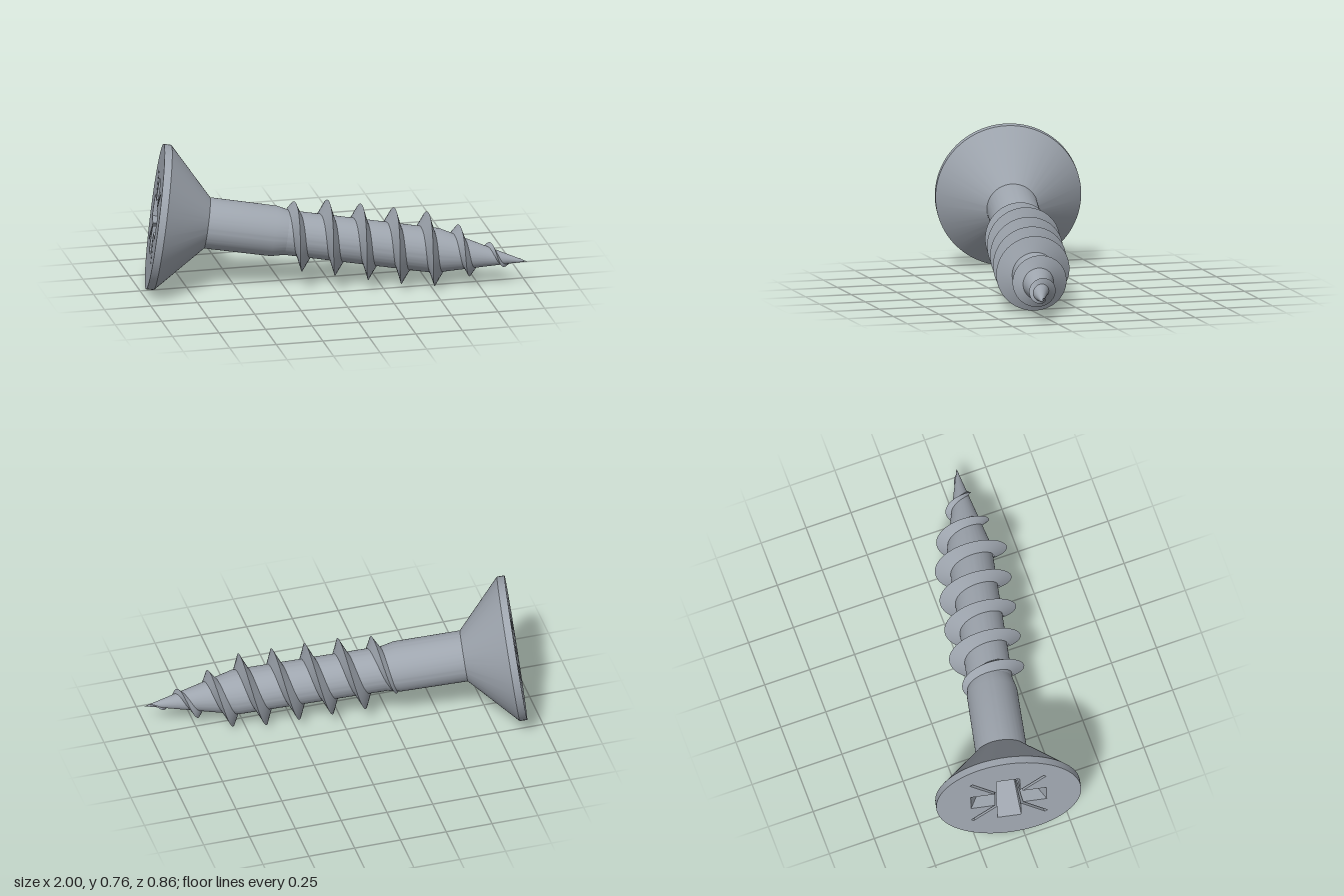
import * as THREE from 'three';
import { toCreasedNormals } from 'three/addons/utils/BufferGeometryUtils.js';

const { lerp, smoothstep } = THREE.MathUtils;
const V = (x, y, z) => new THREE.Vector3(x, y, z);

// Surface through rows of points; it faces (along a row) x (from row to row).
function loft(rows) {
  const n = rows[0].length, index = [];
  for (let i = 0; i < rows.length - 1; i++) {
    for (let j = 0; j < n - 1; j++) {
      const a = i * n + j, b = a + 1, c = b + n, d = a + n;
      index.push(a, b, c, a, c, d);
    }
  }
  const g = new THREE.BufferGeometry().setFromPoints(rows.flat());
  g.setIndex(index);
  g.computeVertexNormals();
  return g;
}

// Turned profile from [radius, height] pairs, with sharp edges kept.
function turned(points) {
  const g = new THREE.LatheGeometry(points.map(p => new THREE.Vector2(...p)), 96);
  return toCreasedNormals(g, 0.3);
}

// Eight-armed driver outline: four broad arms, four thin diagonal slots.
function driverOutline(reach, w, slotReach, h) {
  const k = h * Math.SQRT2, s = h / Math.SQRT2, m = slotReach;
  const quarter = [[reach, -w], [reach, w], [w + k, w], [m + s, m - s], [m - s, m + s], [w, w + k]];
  const out = [];
  for (let q = 0; q < 4; q++) {
    for (const p of quarter) {
      out.push(new THREE.Vector2(...p).rotateAround(new THREE.Vector2(), q * Math.PI / 2));
    }
  }
  return out;
}

// Flat shape laid across the axis, facing the driver side.
function across(shape, height) {
  return new THREE.ShapeGeometry(shape, 96).rotateX(Math.PI / 2).translate(0, height, 0);
}

// Crest radius of the thread along the axis.
const crestStops = [[0.6, 0.125], [0.66, 0.15], [0.76, 0.195], [1.45, 0.197], [1.51, 0.178],
  [1.59, 0.139], [1.68, 0.106], [1.765, 0.067], [1.86, 0.034], [1.92, 0.008]];
function crestRadius(t) {
  let i = 1;
  while (i < crestStops.length - 1 && t > crestStops[i][0]) i++;
  const [t0, r0] = crestStops[i - 1], [t1, r1] = crestStops[i];
  return lerp(r0, r1, (t - t0) / (t1 - t0));
}
const coreRadius = t => (t < 1.47 ? 0.118 : Math.max(0, 0.118 * (1.95 - t) / 0.48));

export function createModel() {
  const steel = new THREE.MeshStandardMaterial({ color: 0x9ea5ae });
  steel.name = 'steel grey';
  const screw = new THREE.Group();
  screw.name = 'screw';
  const add = (name, geometry) => {
    const mesh = new THREE.Mesh(geometry, steel);
    mesh.name = name;
    screw.add(mesh);
  };

  // Countersunk head: rim and cone, then the flat face with its opening
  const R = 0.383, faceY = -0.018, depth = 0.19;
  add('head', turned([[R, faceY], [R, 0.022], [0.135, 0.258]]));
  const top = driverOutline(0.2, 0.062, 0.195, 0.009);
  const bottom = driverOutline(0.08, 0.045, 0.045, 0);
  const face = new THREE.Shape().absarc(0, 0, R, 0, Math.PI * 2);
  face.holes.push(new THREE.Path(top));
  add('headFace', across(face, faceY));

  // Tapering driver recess
  const ring = (pts, y) => [...pts, pts[0]].map(p => V(p.x, y, p.y));
  const walls = loft([ring(top, faceY), ring(bottom, depth)]).toNonIndexed();
  walls.computeVertexNormals();
  add('recessWalls', walls);
  const w = 0.045, l = 0.08;
  const cross = [[l, -w], [l, w], [w, w], [w, l], [-w, l], [-w, w], [-l, w], [-l, -w], [-w, -w], [-w, -l], [w, -l], [w, -w]];
  add('recessFloor', across(new THREE.Shape(cross.map(p => new THREE.Vector2(...p))), depth));

  // Plain shank, threaded core and point
  add('shank', turned([[0.135, 0.255], [0.133, 0.61], [0.118, 0.68]]));
  add('core', turned([[0.118, 0.68], [0.118, 1.47], [0, 1.95]]));

  // Right-handed thread: two flanks meeting in a sharp crest
  const pitch = 0.1755, start = 0.6, end = 1.92, steps = 640;
  const crest = [], lower = [], upper = [];
  for (let i = 0; i <= steps; i++) {
    const t = lerp(start, end, i / steps);
    const angle = (t - 0.879) / pitch * Math.PI * 2;
    const half = 0.034 * smoothstep(t, 0.56, 0.72) * (1 - 0.75 * smoothstep(t, 1.5, 1.92));
    const at = (r, y) => V(r * Math.cos(angle), y, -r * Math.sin(angle));
    crest.push(at(crestRadius(t), t));
    lower.push(at(Math.max(0, coreRadius(t - half) - 0.004), t - half));
    upper.push(at(Math.max(0, coreRadius(t + half) - 0.004), t + half));
  }
  const flank = (from, to) => loft(from.map((p, i) => [p, to[i]]));
  add('threadLowerFlank', flank(crest, lower));
  add('threadUpperFlank', flank(upper, crest));

  // Lay the screw along its tilted axis, resting on the ground
  const axis = V(1.88, -0.26, 0.39).normalize();
  const up = V(0, 1, 0).addScaledVector(axis, -axis.y).normalize();
  const back = V(0, 0, 0).crossVectors(up, axis);
  screw.quaternion.setFromRotationMatrix(new THREE.Matrix4().makeBasis(up, axis, back));
  screw.position.set(-0.89, 0.381, -0.055);

  const model = new THREE.Group();
  model.name = 'woodScrew';
  model.add(screw);
  return model;
}
